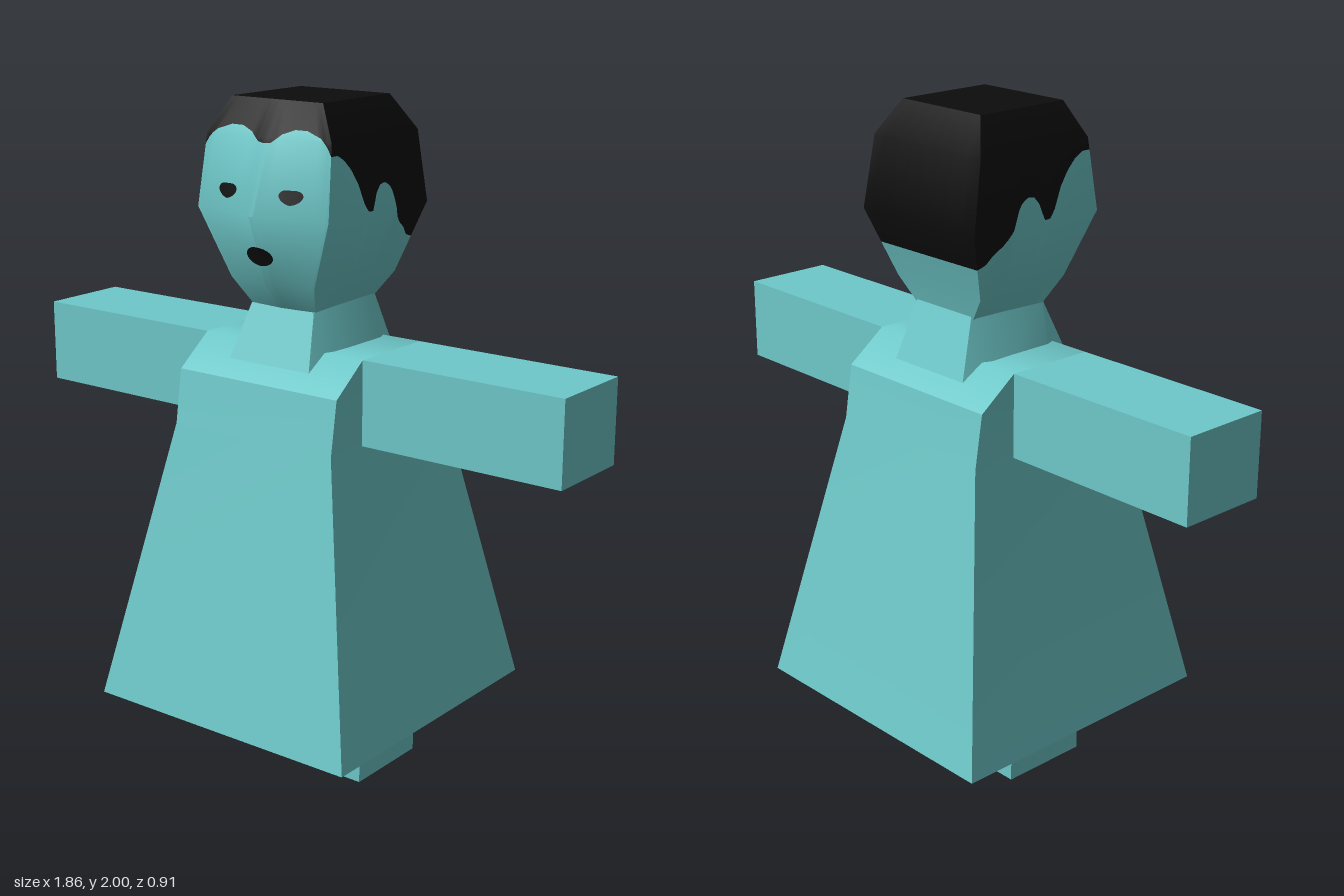
import * as THREE from 'three';
import { toCreasedNormals } from 'three/addons/utils/BufferGeometryUtils.js';

const teal = new THREE.MeshStandardMaterial({ name: 'teal', color: 0x6fc9ca });
const black = new THREE.MeshStandardMaterial({ name: 'black', color: 0x0c0c0c });

// Skin a stack of closed rings (bottom to top, anticlockwise from above)
function loft(rows, capBottom, capTop) {
  const pos = [];
  const tri = (a, b, c) => {
    const area = b.clone().sub(a).cross(c.clone().sub(a)).length();
    if (area > 1e-9) for (const p of [a, b, c]) pos.push(p.x, p.y, p.z);
  };
  const n = rows[0].length;
  for (let i = 0; i + 1 < rows.length; i++) {
    for (let j = 0; j < n; j++) {
      const k = (j + 1) % n;
      tri(rows[i][j], rows[i][k], rows[i + 1][k]);
      tri(rows[i][j], rows[i + 1][k], rows[i + 1][j]);
    }
  }
  const top = rows[rows.length - 1], bottom = rows[0];
  for (let j = 1; j + 1 < n; j++) {
    if (capTop) tri(top[0], top[j], top[j + 1]);
    if (capBottom) tri(bottom[0], bottom[j + 1], bottom[j]);
  }
  const geo = new THREE.BufferGeometry();
  geo.setAttribute('position', new THREE.Float32BufferAttribute(pos, 3));
  return toCreasedNormals(geo, 0.7);
}

// Piecewise linear lookup; each row is [key, value, value, ...]
function lookup(table, key) {
  let i = 0;
  while (i < table.length - 2 && key > table[i + 1][0]) i++;
  const [a, b] = [table[i], table[i + 1]];
  const t = THREE.MathUtils.clamp((key - a[0]) / (b[0] - a[0]), 0, 1);
  return a.slice(1).map((v, j) => THREE.MathUtils.lerp(v, b[j + 1], t));
}

// Head sections: y, front half width, back half width, front corner z, front centre z, back z
const headRings = [
  [1.41, 0.115, 0.115, 0.135, 0.145, -0.14],
  [1.49, 0.15, 0.175, 0.185, 0.205, -0.165],
  [1.69, 0.233, 0.233, 0.23, 0.28, -0.24],
  [1.9, 0.22, 0.22, 0.2, 0.212, -0.205],
  [2.0, 0.16, 0.16, 0.16, 0.16, -0.15],
];

function headPoint({ side, t }, y) {
  const [fx, bx, fz, cz, bz] = lookup(headRings, y);
  const corners = [[fx, fz], [bx, bz], [-bx, bz], [-fx, fz], [0, cz]];
  const a = corners[side], b = corners[(side + 1) % 5];
  return new THREE.Vector3(THREE.MathUtils.lerp(a[0], b[0], t), y, THREE.MathUtils.lerp(a[1], b[1], t));
}

function faceZ(x, y) {
  const [fx, , fz, cz] = lookup(headRings, y);
  return THREE.MathUtils.lerp(cz, fz, Math.abs(x) / fx);
}

// Hairline heights: along each side from front to back, and across the brow from the centre
const sideHair = [
  [0, 1.865], [0.07, 1.865], [0.14, 1.85], [0.22, 1.82], [0.29, 1.78], [0.36, 1.715], [0.4, 1.695], [0.44, 1.697],
  [0.48, 1.745], [0.52, 1.765], [0.57, 1.77], [0.62, 1.758], [0.655, 1.735], [0.68, 1.69], [0.72, 1.665],
  [0.77, 1.645], [0.85, 1.625], [0.92, 1.6], [1, 1.59],
];
const browHair = [[0, 1.885], [0.1, 1.888], [0.25, 1.912], [0.45, 1.926], [0.65, 1.926], [0.85, 1.91], [0.95, 1.885], [1, 1.865]];

function hairline({ side, t }) {
  if (side === 0) return lookup(sideHair, t)[0];
  if (side === 1) return 1.59;
  if (side === 2) return lookup(sideHair, 1 - t)[0];
  return lookup(browHair, side === 3 ? 1 - t : t)[0];
}

// Flat painted oval that follows the face
function facePatch(cx, cy, rx, ry, slant) {
  const geo = new THREE.CircleGeometry(1, 24);
  const p = geo.attributes.position;
  for (let i = 0; i < p.count; i++) {
    const x = cx + p.getX(i) * rx;
    const y = cy + p.getY(i) * ry + slant * Math.abs(p.getX(i));
    p.setXYZ(i, x, y, faceZ(x, y) + 0.004);
  }
  geo.computeVertexNormals();
  return geo;
}

export function createModel() {
  const model = new THREE.Group();
  const add = (name, geo, mat) => {
    const mesh = new THREE.Mesh(geo, mat);
    mesh.name = name;
    model.add(mesh);
    return mesh;
  };

  // Flared dress with sloping shoulders: y, half width, half depth
  const dress = [[0.2, 0.455, 0.455], [1.05, 0.285, 0.285], [1.21, 0.285, 0.26], [1.3, 0.285, 0.14]];
  add('dress', loft(dress.map(([y, x, z]) =>
    [[x, z], [x, -z], [-x, -z], [-x, z]].map(([px, pz]) => new THREE.Vector3(px, y, pz))), true, true), teal);

  // Arms and legs
  for (const [side, s] of [['left', 1], ['right', -1]]) {
    add(side + 'Arm', new THREE.BoxGeometry(0.645, 0.25, 0.28), teal).position.set(s * 0.6075, 1.175, 0);
    add(side + 'Leg', new THREE.BoxGeometry(0.143, 0.21, 0.28), teal).position.set(s * 0.2135, 0.105, 0);
  }

  // Neck, square under the chin and chamfered where it meets the shoulders
  const neckRing = (yFront, yBack, ax, az, bx, bz) =>
    [[ax, az], [bx, bz], [bx, -bz], [ax, -az], [-ax, -az], [-bx, -bz], [-bx, bz], [-ax, az]]
      .map(([x, z]) => new THREE.Vector3(x, z > 0 ? yFront : yBack, z));
  add('neck', loft([
    neckRing(1.25, 1.25, 0.145, 0.205, 0.185, 0.1),
    neckRing(1.41, 1.44, 0.113, 0.14, 0.115, 0.135),
  ], false, true), teal);

  // Head, split into skin and hair along the hairline
  const columns = [];
  [48, 8, 48, 20, 20].forEach((n, side) => {
    for (let i = 0; i < n; i++) columns.push({ side, t: i / n });
  });
  const rows = (limit) => headRings.map(([y]) => columns.map((c) => headPoint(c, limit(y, hairline(c)))));
  add('head', loft(rows(Math.min), true, false), teal);
  add('hair', loft(rows(Math.max), false, true), black);

  // Eyes and mouth
  add('leftEye', facePatch(0.115, 1.748, 0.038, 0.02, 0.006), black);
  add('rightEye', facePatch(-0.108, 1.748, 0.036, 0.02, 0.006), black);
  add('mouth', facePatch(-0.006, 1.572, 0.047, 0.028, 0), black);

  return model;
}
